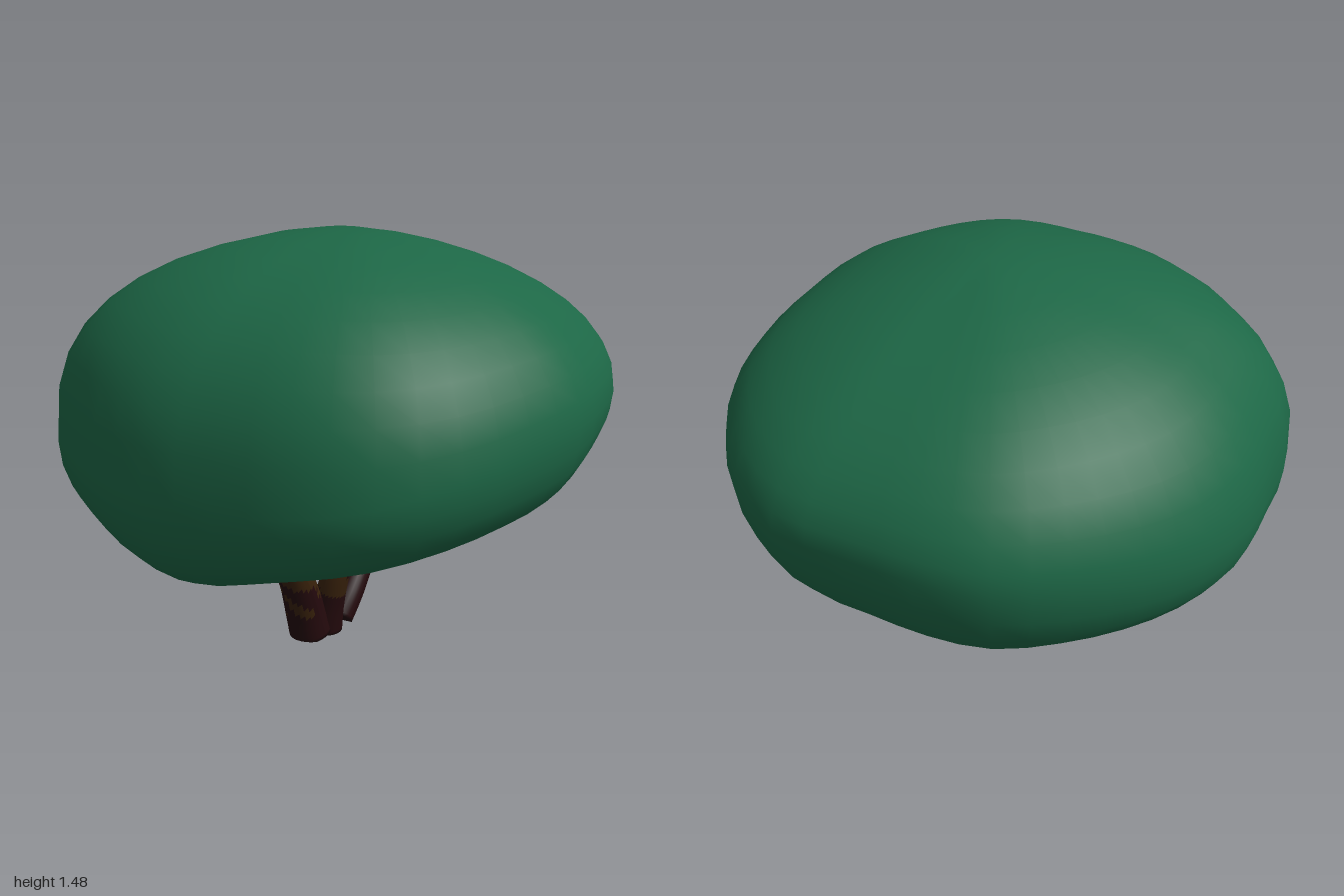
import * as THREE from 'three';

const leafGreen = new THREE.MeshStandardMaterial({ color: 0x1d6746 });
leafGreen.name = 'leafGreen';
const barkBrown = new THREE.MeshStandardMaterial({ color: 0x38210b });
barkBrown.name = 'barkBrown';
const barkDark = new THREE.MeshStandardMaterial({ color: 0x23090c });
barkDark.name = 'barkDark';

// Crown radius every 15 degrees, from +x towards +z
const RADII = [
  0.97, 0.98, 1.015, 1.035, 1.005, 0.97, 0.995, 1.01, 1.03, 1.06, 1.0, 0.985,
  0.97, 0.955, 0.955, 0.968, 0.948, 0.947, 1.0, 1.0, 0.98, 0.97, 0.95, 0.945,
].map((r) => [r]);

// Crown section every 30 degrees: height of widest point,
// underside rim height, rim reach, fullness of the dome, steepness of its edge
const SECTIONS = [
  [0.92, 0.60, 0.76, 1.70, 0.50],
  [0.84, 0.55, 0.77, 1.80, 0.48],
  [0.74, 0.46, 0.75, 2.00, 0.43],
  [0.71, 0.36, 0.72, 2.15, 0.40],
  [0.74, 0.41, 0.72, 2.15, 0.38],
  [0.76, 0.39, 0.76, 2.05, 0.43],
  [0.80, 0.42, 0.68, 2.05, 0.50],
  [0.86, 0.43, 0.63, 1.80, 0.50],
  [0.90, 0.42, 0.59, 1.50, 0.50],
  [0.91, 0.45, 0.58, 1.35, 0.50],
  [0.92, 0.55, 0.64, 1.38, 0.50],
  [0.92, 0.65, 0.71, 1.50, 0.50],
];

// Smooth periodic blend between the rows of a table
function blend(table, turn) {
  const n = table.length, i = Math.floor(turn * n), f = turn * n - i;
  const at = (k) => table[(i + k + n) % n];
  return table[0].map((_, c) => {
    const [a, b, d, e] = [at(-1)[c], at(0)[c], at(1)[c], at(2)[c]];
    return b + 0.5 * f * (d - a + f * (2 * a - 5 * b + 4 * d - e + f * (3 * (b - d) + e - a)));
  });
}

function makeCrown() {
  const COLS = 48, TOP = 10, SIDE = 6, UNDER = 5, ROWS = TOP + SIDE + UNDER - 1;
  const topY = 1.48, underY = 0.49, apexX = 0.08, apexZ = 0.03;
  const pos = [apexX, topY, apexZ], index = [];
  for (let r = 1; r <= ROWS; r++) {
    for (let c = 0; c < COLS; c++) {
      const [radius] = blend(RADII, c / COLS);
      const [midY, rimY, reach, full, edge] = blend(SECTIONS, c / COLS);
      let s, y;
      if (r <= TOP) { // dome
        s = Math.sin((r / TOP) * Math.PI / 2);
        y = midY + (topY - midY) * Math.pow(Math.max(0, 1 - Math.pow(s, full)), edge);
      } else if (r <= TOP + SIDE) { // rounded lower edge
        const t = ((r - TOP) / SIDE) * Math.PI / 2;
        s = reach + (1 - reach) * Math.cos(t);
        y = midY - (midY - rimY) * Math.sin(t);
      } else { // hollow underside
        const k = 1 - (r - TOP - SIDE) / UNDER;
        s = reach * k;
        y = underY + (rimY - underY) * k * k * (3 - 2 * k);
      }
      const shift = r <= TOP ? 1 - s : 0;
      const a = (c / COLS) * Math.PI * 2;
      pos.push(radius * s * Math.cos(a) + apexX * shift, y, radius * s * Math.sin(a) + apexZ * shift);
    }
  }
  const last = pos.length / 3;
  pos.push(0, underY, 0);
  const id = (r, c) => 1 + (r - 1) * COLS + (c % COLS);
  for (let c = 0; c < COLS; c++) {
    index.push(0, id(1, c + 1), id(1, c));
    for (let r = 1; r < ROWS; r++) {
      index.push(id(r, c), id(r, c + 1), id(r + 1, c));
      index.push(id(r, c + 1), id(r + 1, c + 1), id(r + 1, c));
    }
    index.push(id(ROWS, c), id(ROWS, c + 1), last);
  }
  const geo = new THREE.BufferGeometry();
  geo.setAttribute('position', new THREE.Float32BufferAttribute(pos, 3));
  geo.setIndex(index);
  geo.computeVertexNormals();
  const mesh = new THREE.Mesh(geo, leafGreen);
  mesh.name = 'leafCrown';
  return mesh;
}

// Tapered limb along a curve, dark bark near the ground with mottled patches
function makeLimb(name, points, r0, r1) {
  const SEG = 48, SIDES = 24;
  const curve = new THREE.CatmullRomCurve3(points.map((p) => new THREE.Vector3(...p)));
  const geo = new THREE.TubeGeometry(curve, SEG, 1, SIDES, false);
  const p = geo.attributes.position, v = new THREE.Vector3();
  for (let i = 0; i <= SEG; i++) {
    const centre = curve.getPointAt(i / SEG);
    // end rings close to a point
    const radius = i === 0 || i === SEG ? 0 : r0 + (r1 - r0) * (i / SEG);
    for (let j = 0; j <= SIDES; j++) {
      const k = i * (SIDES + 1) + j;
      v.fromBufferAttribute(p, k).sub(centre).multiplyScalar(radius).add(centre);
      p.setXYZ(k, v.x, Math.max(0, v.y), v.z);
    }
  }
  geo.computeVertexNormals();
  // Sort faces by bark colour
  const src = geo.index.array, brown = [], dark = [];
  for (let q = 0; q < src.length; q += 3) {
    const k = src[q], x = p.getX(k), y = p.getY(k), z = p.getZ(k);
    const mottle = 0.1 * Math.sin(45 * x + 30 * z) * Math.sin(38 * y + 25 * x + 1);
    (y + mottle < 0.19 ? dark : brown).push(...src.slice(q, q + 3));
  }
  geo.setIndex([...brown, ...dark]);
  geo.addGroup(0, brown.length, 0);
  geo.addGroup(brown.length, dark.length, 1);
  const mesh = new THREE.Mesh(geo, [barkBrown, barkDark]);
  mesh.name = name;
  return mesh;
}

export function createModel() {
  const tree = new THREE.Group();
  tree.name = 'tree';
  tree.add(makeCrown());

  const trunk = new THREE.Group();
  trunk.name = 'trunk';
  trunk.add(
    makeLimb('frontLimb', [[0.03, 0, 0.25], [0.03, 0.1, 0.28], [0.04, 0.25, 0.34], [0.05, 0.42, 0.45], [0.05, 0.5, 0.49]], 0.08, 0.045),
    makeLimb('frontFork', [[0.05, 0.33, 0.4], [0.07, 0.4, 0.38], [0.08, 0.48, 0.35]], 0.035, 0.03),
    makeLimb('middleLimb', [[0.04, 0, 0.19], [0.06, 0.1, 0.19], [0.1, 0.25, 0.18], [0.13, 0.38, 0.12], [0.15, 0.54, 0.07]], 0.068, 0.025),
    makeLimb('backLimb', [[0.05, 0.02, 0.13], [0.05, 0.1, 0.06], [0.03, 0.22, -0.06], [0.01, 0.34, -0.22], [0, 0.5, -0.31]], 0.058, 0.03),
  );
  tree.add(trunk);
  return tree;
}
